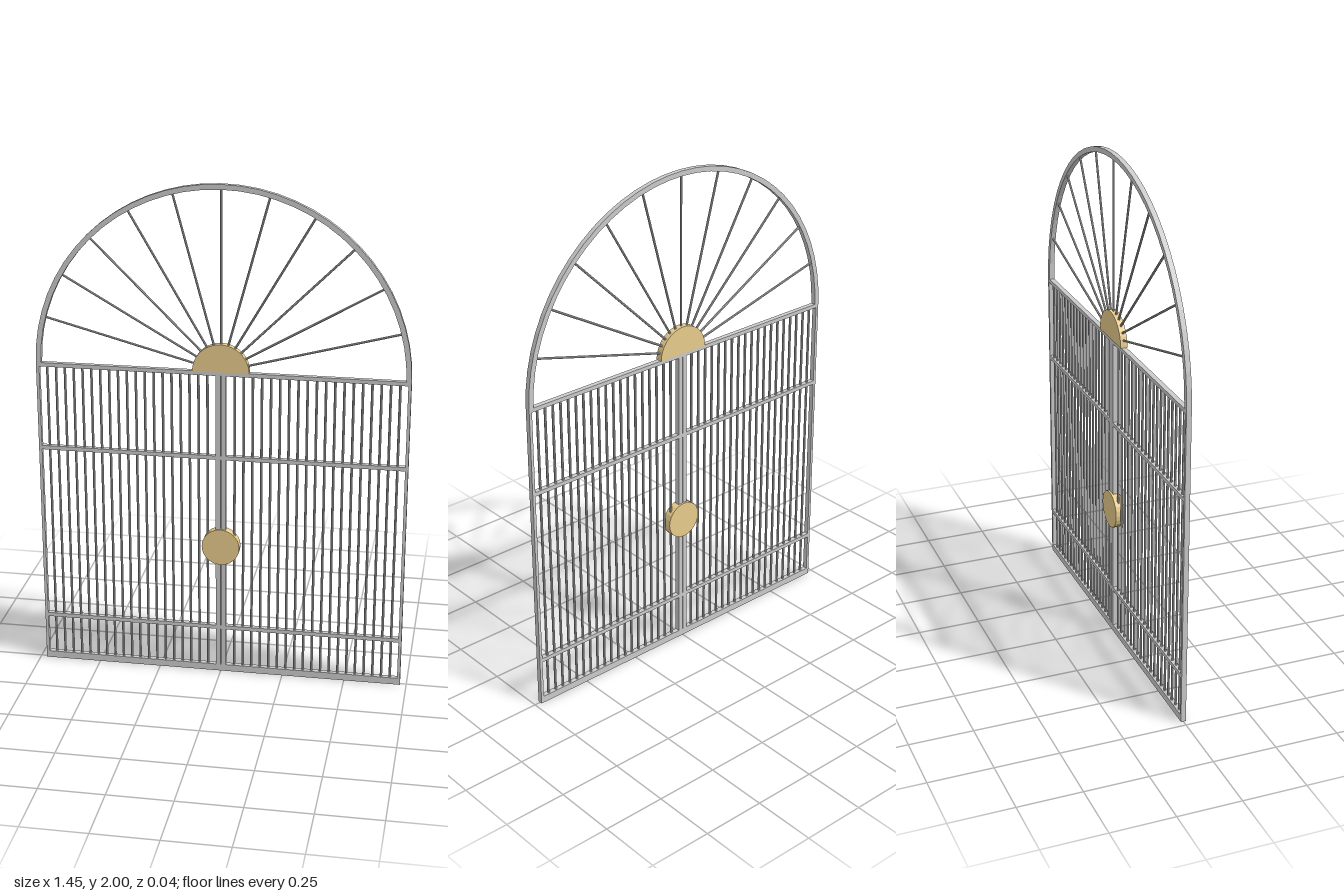
import * as THREE from 'three';

const grey = new THREE.MeshStandardMaterial({ color: 0xcccccc, flatShading: true });
const gold = new THREE.MeshStandardMaterial({ color: 0xe8cc8c, flatShading: true });

const HALF = 0.725;      // half width of the gate and radius of the arch
const SPRING = 1.275;    // height where the arch starts
const DEPTH = 0.02;

export function createModel() {
  const gate = new THREE.Group();
  gate.name = 'archedGate';

  const add = (name, geometry, material, x = 0, y = 0, z = 0, parent = gate) => {
    const mesh = new THREE.Mesh(geometry, material);
    mesh.name = name;
    mesh.position.set(x, y, z);
    parent.add(mesh);
    return mesh;
  };
  const box = (name, w, h, d, x, y, parent) =>
    add(name, new THREE.BoxGeometry(w, h, d), grey, x, y, 0, parent);

  // Two mirrored leaves: stiles, rails and upright bars
  for (const side of [-1, 1]) {
    const leaf = new THREE.Group();
    leaf.name = side > 0 ? 'leftLeaf' : 'rightLeaf';
    gate.add(leaf);
    box('outerStile', 0.012, SPRING, DEPTH, side * (HALF - 0.006), SPRING / 2, leaf);
    box('meetingStile', 0.019, SPRING, DEPTH, side * 0.0105, SPRING / 2, leaf);
    const rails = [['bottomRail', 0.014, 0.028], ['lowerRail', 0.195, 0.016],
      ['upperRail', 0.924, 0.016], ['topRail', 1.267, 0.016]];
    for (const [name, y, h] of rails) box(name, HALF, h, DEPTH, side * HALF / 2, y, leaf);
    const barShape = new THREE.CylinderGeometry(0.005, 0.005, SPRING - 0.03, 8);
    for (let i = 0; i < 19; i++) {
      add('bar', barShape, grey, side * (0.053 + i * 0.035), SPRING / 2, 0, leaf);
    }
  }

  // Semicircular arch of square section
  const arch = new THREE.Shape();
  arch.absarc(0, 0, HALF, 0, Math.PI, false);
  arch.absarc(0, 0, HALF - 0.02, Math.PI, 0, true);
  add('arch', new THREE.ExtrudeGeometry(arch, { depth: DEPTH, bevelEnabled: false, curveSegments: 16 }),
    grey, 0, SPRING, -DEPTH / 2);

  // Sunburst spokes every 15 degrees
  const inner = 0.09, outer = HALF - 0.012;
  const spokeShape = new THREE.CylinderGeometry(0.0045, 0.0045, outer - inner, 8);
  for (let i = 1; i < 12; i++) {
    const a = i * Math.PI / 12, r = (inner + outer) / 2;
    const spoke = add('spoke', spokeShape, grey, Math.cos(a) * r, SPRING + Math.sin(a) * r);
    spoke.rotation.z = a - Math.PI / 2;
  }

  // Half-disc hub of the sunburst
  const hub = new THREE.Shape();
  hub.absarc(0, 0, 0.11, 0, Math.PI, false);
  add('sunburstHub', new THREE.ExtrudeGeometry(hub, { depth: 0.027, bevelEnabled: false, curveSegments: 16 }),
    gold, 0, SPRING, -0.0135);

  // Round lock plate where the leaves meet
  const plate = add('lockPlate', new THREE.CylinderGeometry(0.075, 0.075, 0.035, 24), gold, 0, 0.549);
  plate.rotation.x = Math.PI / 2;

  return gate;
}
